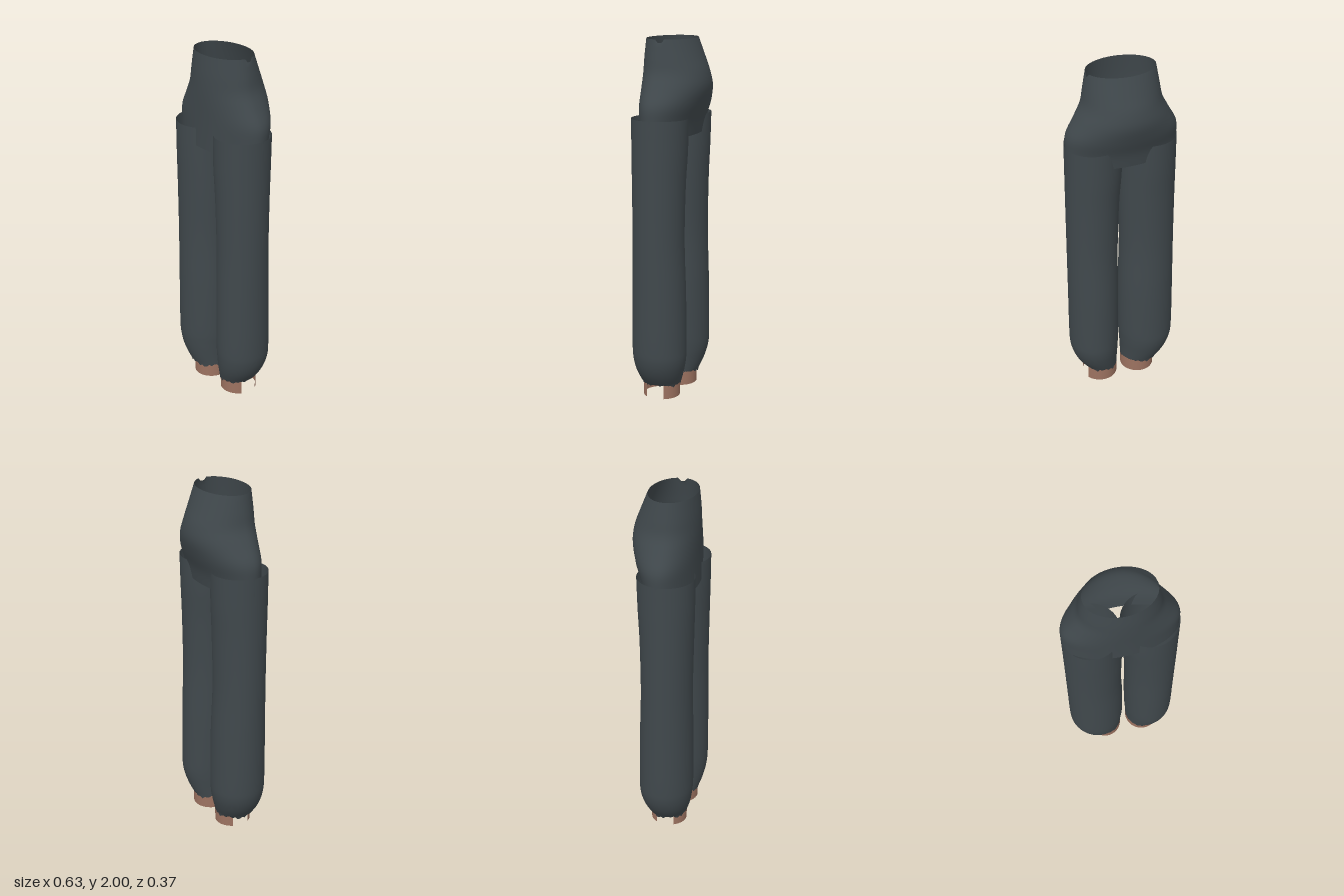
import * as THREE from 'three';

const cloth = new THREE.MeshStandardMaterial({ color: 0x40484c, side: THREE.DoubleSide });
cloth.name = 'charcoal cloth';
const skin = new THREE.MeshStandardMaterial({ color: 0x9c7260, side: THREE.DoubleSide });
skin.name = 'brown skin';

const SEG = 48;

// Smooth open tube through rings { y, x0, x1, z0, z1, zc }; zc is the height of the widest line.
// offsetY(ring, angle) shifts single points up or down; skip(angle) leaves out wall strips.
function loft(rings, { offsetY = () => 0, skip = () => false } = {}) {
  const pos = [], index = [];
  rings.forEach((r, i) => {
    const cx = (r.x0 + r.x1) / 2, rx = (r.x1 - r.x0) / 2;
    const zc = r.zc ?? (r.z0 + r.z1) / 2;
    for (let j = 0; j < SEG; j++) {
      const a = (j / SEG) * Math.PI * 2, s = Math.sin(a);
      pos.push(cx + rx * Math.cos(a), r.y + offsetY(i, j), zc + s * (s > 0 ? r.z1 - zc : zc - r.z0));
    }
  });
  for (let i = 0; i < rings.length - 1; i++) {
    for (let j = 0; j < SEG; j++) {
      if (skip((j + 0.5) / SEG * Math.PI * 2)) continue;
      const a = i * SEG + j, b = i * SEG + (j + 1) % SEG;
      index.push(a, a + SEG, b, b, a + SEG, b + SEG); // rings run upward
    }
  }
  const g = new THREE.BufferGeometry();
  g.setAttribute('position', new THREE.Float32BufferAttribute(pos, 3));
  g.setIndex(index);
  g.computeVertexNormals();
  return g;
}

// Samples smooth rings from a few key rows
function smoothRings(rows, make, count) {
  const rings = [];
  for (let i = 0; i <= count; i++) {
    const t = (i / count) * (rows.length - 1);
    const k = Math.min(Math.floor(t), rows.length - 2), f = t - k;
    const at = n => rows[Math.max(0, Math.min(rows.length - 1, n))];
    const v = rows[0].map((_, c) => {
      const p0 = at(k - 1)[c], p1 = at(k)[c], p2 = at(k + 1)[c], p3 = at(k + 2)[c];
      return p1 + 0.5 * f * (p2 - p0 + f * (2 * p0 - 5 * p1 + 4 * p2 - p3 + f * (3 * (p1 - p2) + p3 - p0)));
    });
    rings.push(make(v));
  }
  return rings;
}

export function createModel() {
  const group = new THREE.Group();
  const add = (name, geometry, material) => {
    const mesh = new THREE.Mesh(geometry, material);
    mesh.name = name;
    group.add(mesh);
  };

  // Hips: y, half width, back z, front z
  const hipRows = [
    [1.48, 0.313, -0.115, 0.165], [1.56, 0.313, -0.13, 0.165], [1.65, 0.309, -0.163, 0.166],
    [1.74, 0.262, -0.186, 0.168], [1.82, 0.222, -0.176, 0.168], [1.9, 0.207, -0.146, 0.165],
    [2.0, 0.19, -0.105, 0.156],
  ];
  const hipRings = smoothRings(hipRows, ([y, w, z0, z1]) => ({ y, x0: -w, x1: w, z0, z1, zc: 0.025 }), 24);
  const top = hipRings.length - 1;
  // small nick in the waist edge on the left side
  const nick = (i, j) => (i === top && (j === 0 || j === SEG - 1) ? -0.022 : 0);
  add('hips', loft(hipRings, { offsetY: nick }), cloth);

  // Half floor closing the front of the hips
  const floor = new THREE.CircleGeometry(1, 32, Math.PI, Math.PI);
  floor.rotateX(-Math.PI / 2);
  floor.scale(0.312, 1, 0.139);
  floor.translate(0, 1.481, 0.025);
  add('crotchPanel', floor, cloth);

  // Trouser legs: y, inner x of left leg, inner x of right leg, outer distance, back z, front z
  const legRows = [
    [0.07, 0.034, -0.004, 0.228, -0.074, 0.142], [0.14, 0.033, -0.002, 0.277, -0.1, 0.165],
    [0.22, 0.03, 0.003, 0.306, -0.119, 0.18], [0.32, 0.027, 0.008, 0.313, -0.122, 0.185],
    [0.6, 0.025, 0.008, 0.313, -0.118, 0.183], [0.9, 0.025, 0.0, 0.313, -0.108, 0.178],
    [1.2, 0.016, 0.004, 0.313, -0.112, 0.181], [1.4, 0.002, 0.002, 0.313, -0.121, 0.185],
    [1.58, 0.0, 0.0, 0.313, -0.126, 0.186],
  ];
  for (const side of [1, -1]) {
    const word = side > 0 ? 'left' : 'right';
    const rings = smoothRings(legRows, ([y, inL, inR, out, z0, z1]) => side > 0
      ? { y, x0: inL, x1: out, z0, z1 }
      : { y, x0: -out, x1: inR, z0, z1 }, 40);
    // ragged hem
    const hem = (i, j) => (i === 0 ? 0.007 * Math.sin(j * 2.3) + 0.007 * Math.sin(j * 0.7 + side) : 0);
    add(word + 'TrouserLeg', loft(rings, { offsetY: hem }), cloth);

    // Ankle, with the outer strip of its wall missing
    const [x0, x1] = side > 0 ? [0.034, 0.238] : [-0.2, -0.004];
    const ankle = [0, 0.05, 0.1].map(y => ({ y, x0, x1, z0: -0.07, z1: 0.136 }));
    add(word + 'Ankle', loft(ankle, { skip: a => Math.cos(a) * side > 0.86 }), skin);
  }
  return group;
}
